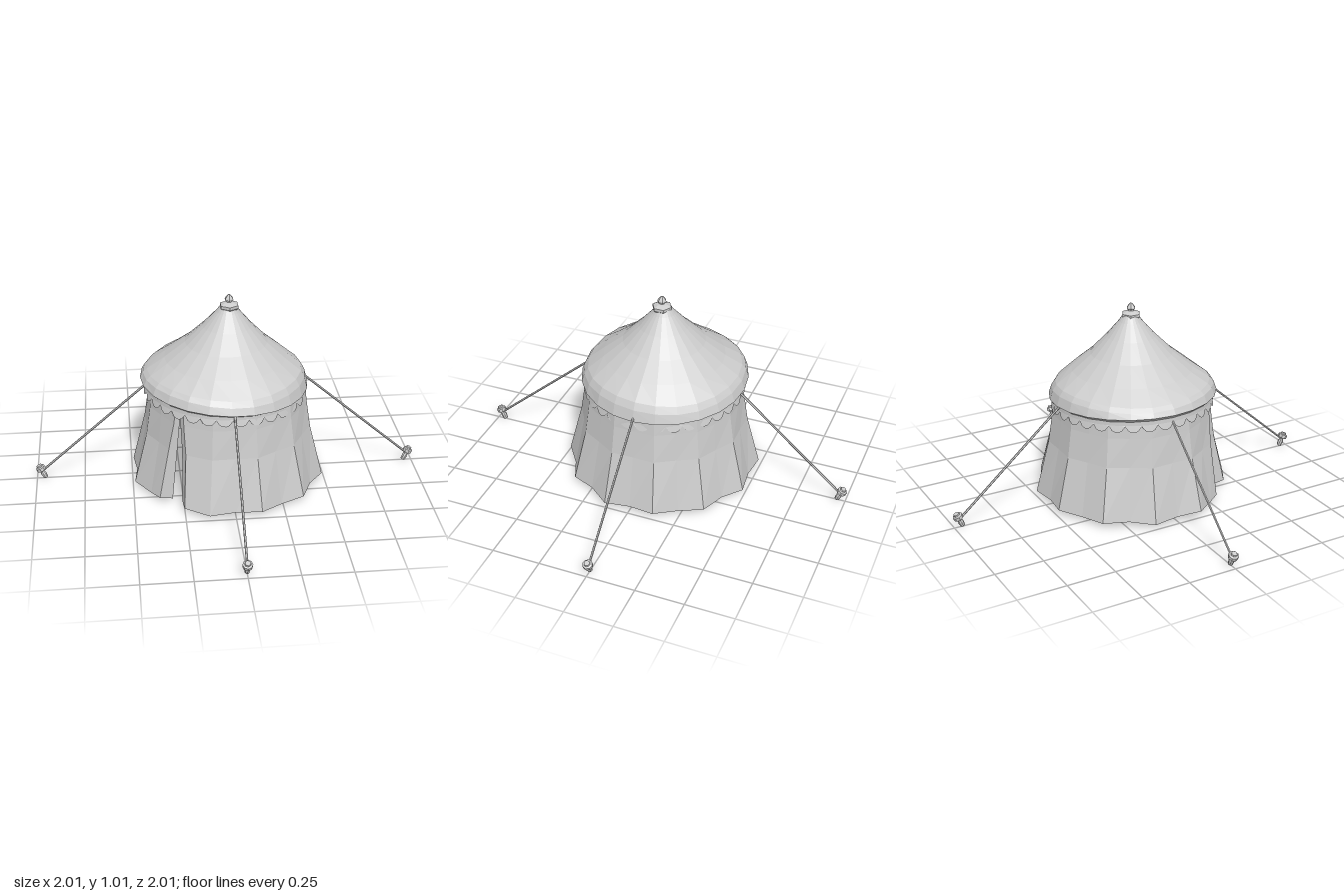
import * as THREE from 'three';

const cloth = new THREE.MeshStandardMaterial({ color: 0xcccccc, flatShading: true, side: THREE.DoubleSide });
const solid = new THREE.MeshStandardMaterial({ color: 0xcccccc, flatShading: true });
const RAD = Math.PI / 180;

function add(parent, name, geometry, material) {
  const mesh = new THREE.Mesh(geometry, material);
  mesh.name = name;
  parent.add(mesh);
  return mesh;
}

// Sheet of quads: point(i, j) gives [x, y, z] for column i and row j (rows run downwards)
function sheet(cols, rows, point) {
  const pos = [], index = [];
  for (let i = 0; i < cols; i++) {
    for (let j = 0; j < rows; j++) {
      pos.push(...point(i, j));
      if (i < cols - 1 && j < rows - 1) {
        const a = i * rows + j, b = a + rows;
        index.push(a, a + 1, b, b, a + 1, b + 1);
      }
    }
  }
  const g = new THREE.BufferGeometry();
  g.setAttribute('position', new THREE.Float32BufferAttribute(pos, 3));
  g.setIndex(index);
  g.computeVertexNormals();
  return g;
}

const polar = (deg, r, y) => [r * Math.cos(deg * RAD), y, r * Math.sin(deg * RAD)];

// Pleated wall, open along one seam with the two edges curled inwards
function wallGeometry() {
  // column: bottom angle, top angle, bottom radius, middle radius, top radius
  const columns = [[127, 131, 0.43, 0.405, 0.395], [121, 127, 0.49, 0.43, 0.405]];
  for (let a = 105; a >= -210; a -= 15) {
    const ridge = Math.abs(a + 360) % 30 === 15;
    columns.push([a, a, ridge ? 0.507 : 0.475, ridge ? 0.437 : 0.42, ridge ? 0.405 : 0.397]);
  }
  columns.push([-219, -226, 0.476, 0.43, 0.405], [-226, -229, 0.44, 0.41, 0.395]);
  return sheet(columns.length, 4, (i, j) => {
    const [a0, a1, rb, rm, rt] = columns[i];
    const y = [0.55, 0.45, 0.3, 0.025][j] + (j === 3 ? 0.005 * Math.sin(i * 2.1) : 0);
    const r = [rt, rt * 0.7 + rm * 0.3, rm, rb][j];
    return polar(a1 + (a0 - a1) * [0, 0.1, 0.55, 1][j], r, y);
  });
}

// Slightly lopsided cone roof with a soft shoulder and a hanging rim
function roofGeometry() {
  // radius, height, sideways tilt
  const profile = [[0.035, 0.95, 0], [0.06, 0.915, 0], [0.125, 0.84, 0], [0.21, 0.755, 0],
    [0.31, 0.675, 0], [0.395, 0.612, 0.015], [0.415, 0.585, 0.035], [0.43, 0.542, 0.06], [0.408, 0.527, 0.05]];
  return sheet(25, profile.length, (i, j) => {
    const [r, y, tilt] = profile[j];
    const a = i * 15;
    const wobble = j > 4 && j < 7 ? 0.008 * Math.sin(3 * a * RAD + 0.6) : 0;
    const p = polar(a, r, y + wobble);
    p[1] -= tilt * p[0];
    p[0] -= 0.014 * Math.min(1, r / 0.4) - 0.01 * (1 - r / 0.43);
    return p;
  });
}

// Scalloped valance below the rim
function valanceGeometry() {
  const scallops = 32, steps = 5, n = scallops * steps;
  return sheet(n + 1, 3, (i, j) => {
    const drop = Math.pow(Math.sin(Math.PI * (i % steps) / steps), 0.6);
    const y = [0.54, 0.512, 0.508 - 0.03 * drop][j];
    const p = polar(i * 360 / n, [0.408, 0.41, 0.412 + 0.006 * drop][j], y);
    p[1] -= 0.035 * p[0];
    p[0] -= 0.01;
    return p;
  });
}

function lathe(points, sides) {
  return new THREE.LatheGeometry(points.map(p => new THREE.Vector2(...p)), sides);
}

// Guy rope and leaning peg, laid out along +x
function guyLine() {
  const line = new THREE.Group();
  line.name = 'guyLine';
  const rope = new THREE.LineCurve3(new THREE.Vector3(0.405, 0.535, 0), new THREE.Vector3(0.97, 0.045, 0));
  add(line, 'rope', new THREE.TubeGeometry(rope, 1, 0.006, 6), solid);
  const peg = add(line, 'peg', lathe([[0, -0.04], [0.012, -0.036], [0.015, -0.01], [0.011, 0],
    [0.011, 0.008], [0.025, 0.012], [0.025, 0.03], [0.016, 0.034], [0.014, 0.042], [0, 0.042]], 8), solid);
  peg.position.set(0.97, 0.039, 0);
  peg.rotation.z = -0.42;
  return line;
}

export function createModel() {
  const tent = new THREE.Group();
  tent.name = 'tent';

  add(tent, 'wall', wallGeometry(), cloth);
  add(tent, 'roof', roofGeometry(), cloth);
  add(tent, 'valance', valanceGeometry(), cloth);

  // Hexagonal cap with a pointed knob
  const finial = add(tent, 'finial', lathe([[0, 0.925], [0.038, 0.925], [0.05, 0.938], [0.05, 0.953],
    [0.03, 0.962], [0.014, 0.966], [0.014, 0.973], [0.024, 0.977], [0.022, 0.985], [0.008, 1.003], [0, 1.008]], 6), solid);
  finial.position.set(0.012, 0, 0.006);

  for (let k = 0; k < 4; k++) {
    const line = guyLine();
    line.rotation.y = k * Math.PI / 2;
    tent.add(line);
  }
  return tent;
}
